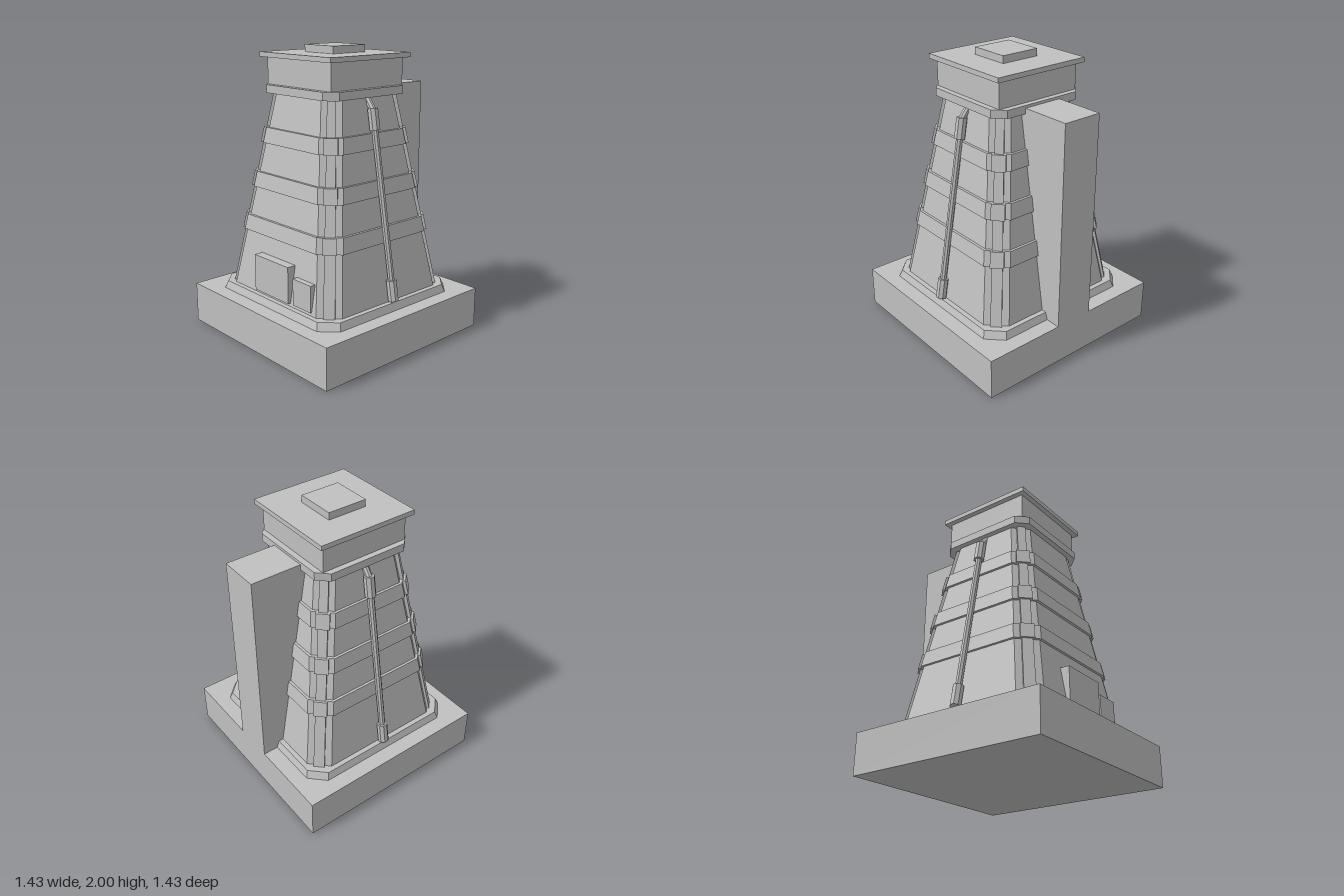
import * as THREE from 'three';

const concrete = new THREE.MeshStandardMaterial({ color: 0xc0c0c0 });
concrete.name = 'concrete grey';
concrete.flatShading = true;

// Closed solid between a lower and an upper ring of points (counter-clockwise seen from above)
function loft(lower, upper) {
  const pos = [];
  const n = lower.length;
  const tri = (a, b, c) => pos.push(...a, ...b, ...c);
  for (let i = 0; i < n; i++) {
    const j = (i + 1) % n;
    tri(lower[i], lower[j], upper[j]);
    tri(lower[i], upper[j], upper[i]);
    if (i > 0 && i < n - 1) {
      tri(upper[0], upper[i], upper[i + 1]);
      tri(lower[0], lower[i + 1], lower[i]);
    }
  }
  const g = new THREE.BufferGeometry();
  g.setAttribute('position', new THREE.Float32BufferAttribute(pos, 3));
  g.computeVertexNormals();
  return g;
}

// Square ring with cut corners: half = half width, flat = half length of each straight side
const octagon = (half, flat, y) => [
  [half, y, flat], [half, y, -flat], [flat, y, -half], [-flat, y, -half],
  [-half, y, -flat], [-half, y, flat], [-flat, y, half], [flat, y, half],
];

// Tapering wall lines
const Y0 = 0.33, Y1 = 1.69;
const mix = (a, b, y) => a + (b - a) * (y - Y0) / (Y1 - Y0);
const wallHalf = y => mix(0.555, 0.32, y);
const wallFlat = y => mix(0.435, 0.225, y);
const postDist = y => mix(0.718, 0.41, y);

// Diagonal section of a corner post
function postRing(y, out, wide) {
  const d = postDist(y) + out, k = Math.SQRT1_2;
  const p = (r, s) => [(r + s) * k, y, (r - s) * k];
  return [p(d, -wide), p(d, wide), p(d - 0.16, wide), p(d - 0.16, -wide)];
}

export function createModel() {
  const root = new THREE.Group();
  root.name = 'tower';

  const add = (name, geometry, parent = root) => {
    const m = new THREE.Mesh(geometry, concrete);
    m.name = name;
    parent.add(m);
    return m;
  };
  const box = (name, x0, x1, y0, y1, z0, z1) => {
    const m = add(name, new THREE.BoxGeometry(x1 - x0, y1 - y0, z1 - z0));
    m.position.set((x0 + x1) / 2, (y0 + y1) / 2, (z0 + z1) / 2);
  };
  const block = (name, half, y0, y1) => box(name, -half, half, y0, y1, -half, half);

  // Base and plinth
  block('base', 0.713, 0, 0.285);
  add('plinth', loft(octagon(0.607, 0.502, 0.28), octagon(0.588, 0.485, 0.337)));

  // Tapered shaft
  add('shaft', loft(octagon(wallHalf(Y0), wallFlat(Y0), Y0), octagon(wallHalf(Y1), wallFlat(Y1), Y1)));

  // Horizontal bands round the shaft
  const bands = [[0.735, 0.84], [1.04, 1.145], [1.345, 1.45]];
  for (const [a, b] of bands) {
    const ring = y => octagon(wallHalf(y) + 0.018, wallFlat(y) + 0.008, y);
    add('band', loft(ring(a), ring(b)));
  }

  // Corner posts with thicker clamps at the bands
  for (let i = 0; i < 4; i++) {
    const corner = new THREE.Group();
    corner.name = 'cornerPost';
    corner.rotation.y = i * Math.PI / 2;
    root.add(corner);
    add('post', loft(postRing(Y0, 0, 0.038), postRing(Y1, 0, 0.028)), corner);
    for (const [a, b] of bands)
      add('postClamp', loft(postRing(a, 0.016, 0.046), postRing(b, 0.016, 0.045)), corner);
  }

  // Collar, head and roof
  add('collar', loft(octagon(0.36, 0.286, 1.68), octagon(0.36, 0.286, 1.735)));
  block('head', 0.32, 1.73, 1.92);
  block('roofSlab', 0.357, 1.917, 1.95);
  block('roofCap', 0.142, 1.947, 2);

  // Rear pier
  box('rearPier', -0.143, 0.143, 0.28, 1.717, -0.713, -0.28);

  // Front cabinets
  box('largeCabinet', -0.18, 0.176, 0.357, 0.61, 0.44, 0.57);
  box('smallCabinet', 0.21, 0.388, 0.357, 0.54, 0.44, 0.558);

  // Side pipes with end sleeves and a bent top
  const rod = (name, parent, r, x0, y0, x1, y1) => {
    const g = new THREE.CylinderGeometry(r, r, Math.hypot(x1 - x0, y1 - y0), 8);
    g.rotateY(Math.PI / 8);
    const m = add(name, g, parent);
    m.position.set((x0 + x1) / 2, (y0 + y1) / 2, 0);
    m.rotation.z = -Math.atan2(x1 - x0, y1 - y0);
  };
  for (const side of [0, 1]) {
    const pipe = new THREE.Group();
    pipe.name = side ? 'rightPipe' : 'leftPipe';
    pipe.rotation.y = side * Math.PI;
    root.add(pipe);
    const px = y => 0.582 - (y - 0.345) * 0.172;
    rod('pipe', pipe, 0.023, px(0.35), 0.35, px(1.61), 1.61);
    rod('lowerSleeve', pipe, 0.037, px(0.347), 0.347, px(0.487), 0.487);
    rod('upperSleeve', pipe, 0.037, px(1.47), 1.47, px(1.61), 1.61);
    rod('pipeBend', pipe, 0.023, px(1.6), 1.6, 0.295, 1.69);
  }
  return root;
}
